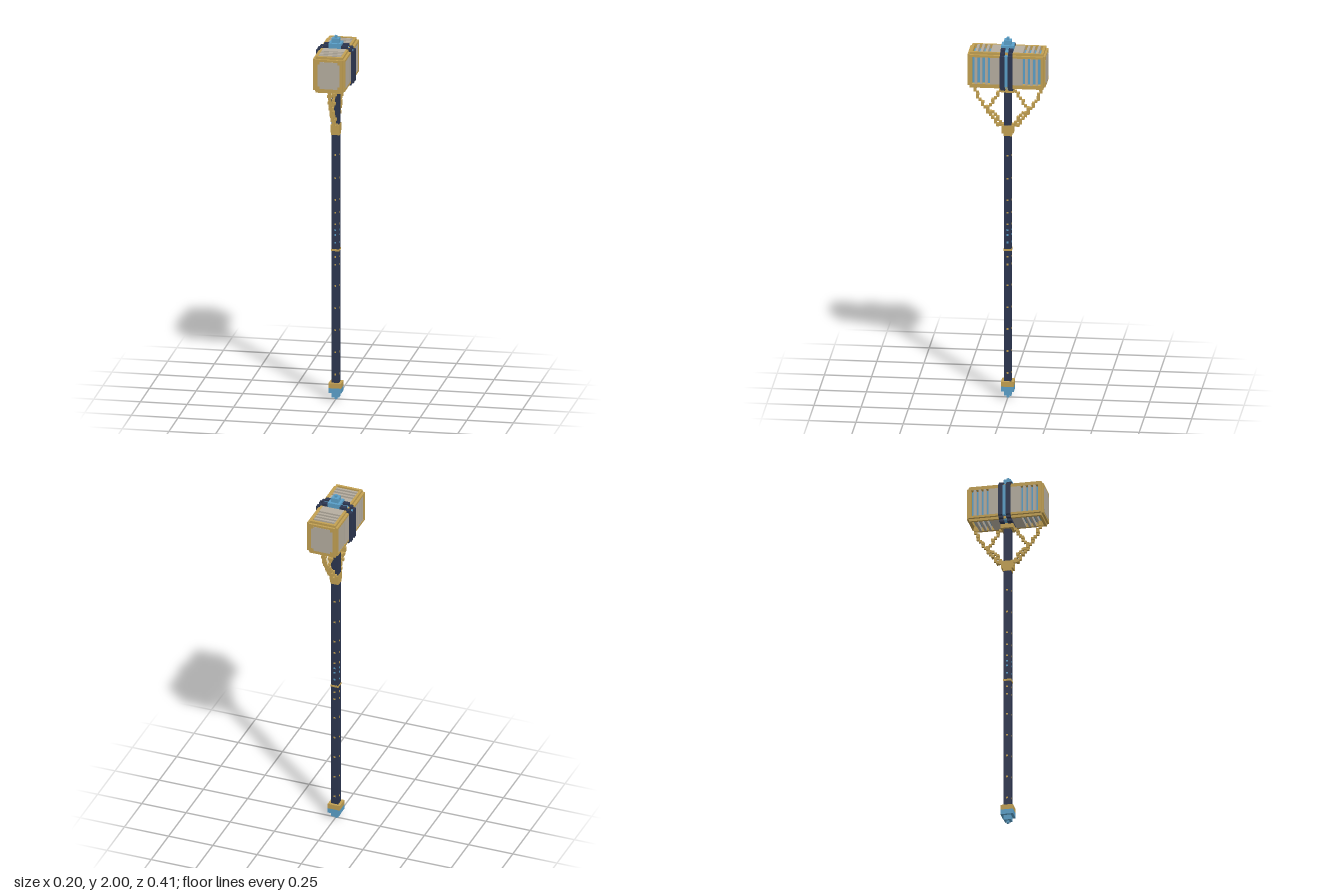
import * as THREE from 'three';

const mat = (name, color) => {
  const m = new THREE.MeshStandardMaterial({ color });
  m.name = name;
  return m;
};

export function createModel() {
  const gold = mat('gold', 0xc2a052);
  const stone = mat('stone', 0xb5ad9f);
  const blue = mat('blue', 0x5a9fc8);
  const navy = mat('navy', 0x2c3650);

  const model = new THREE.Group();
  model.name = 'warHammer';
  const group = (name) => {
    const g = new THREE.Group();
    g.name = name;
    model.add(g);
    return g;
  };
  // Box by size and centre
  const box = (parent, name, material, w, h, d, x, y, z) => {
    const m = new THREE.Mesh(new THREE.BoxGeometry(w, h, d), material);
    m.name = name;
    m.position.set(x, y, z);
    parent.add(m);
    return m;
  };
  // Square block between two heights
  const block = (parent, name, material, half, y0, y1) =>
    box(parent, name, material, half * 2, y1 - y0, half * 2, 0, (y0 + y1) / 2, 0);

  // Pommel: stepped blue tip under a gold collar
  const pommel = group('pommel');
  block(pommel, 'pommelTip', blue, 0.007, 0, 0.02);
  block(pommel, 'pommelStep', blue, 0.02, 0.0135, 0.046);
  block(pommel, 'pommelBase', blue, 0.034, 0.04, 0.067);
  block(pommel, 'pommelCollar', gold, 0.034, 0.067, 0.094);

  // Handle with thin ring and collars
  const handle = group('handle');
  block(handle, 'shaft', navy, 0.02, 0.09, 1.73);
  block(handle, 'gripRing', gold, 0.0215, 0.818, 0.829);
  block(handle, 'chainCollarLower', gold, 0.0225, 1.457, 1.475);
  const collar = block(handle, 'chainCollar', gold, 0.0225, 1.472, 1.515);
  collar.scale.z = 1.4;
  block(handle, 'headCollar', gold, 0.034, 1.702, 1.728);

  // Studs on the four sides of the shaft
  const studs = group('studs');
  const goldStuds = [0.14, 0.262, 0.384, 0.505, 0.627, 0.743, 0.786, 0.966, 1.03, 1.1, 1.22, 1.347];
  const blueStuds = [0.865, 0.907, 0.934];
  [[goldStuds, gold], [blueStuds, blue]].forEach(([heights, m]) => {
    for (const y of heights) {
      box(studs, 'studFrontBack', m, 0.01, 0.009, 0.042, 0, y, 0);
      box(studs, 'studSides', m, 0.042, 0.009, 0.01, 0, y, 0);
    }
  });

  // Head
  const cy = 1.837;
  const head = group('head');
  box(head, 'glowingCore', blue, 0.124, 0.15, 0.366, 0, cy, 0);
  // Each slat reaches all four sides, the gaps show the core
  const slats = [[0.03, 0.086], [0.1, 0.113], [0.127, 0.14], [0.154, 0.167]];
  for (const s of [1, -1]) {
    for (const [a, b] of slats) {
      const z = s * (a + b) / 2;
      box(head, 'slatSides', stone, 0.172, 0.148, b - a, 0, cy, z);
      box(head, 'slatTopBottom', stone, 0.12, 0.198, b - a, 0, cy, z);
    }
    // Stepped gold end frame
    box(head, 'endFrameSides', gold, 0.172, 0.172, 0.014, 0, cy, s * 0.188);
    box(head, 'endFrameTopBottom', gold, 0.146, 0.198, 0.014, 0, cy, s * 0.188);
    box(head, 'endFrameFace', gold, 0.146, 0.172, 0.014, 0, cy, s * 0.199);
    // Striking face with notched corners
    box(head, 'strikingFaceWide', stone, 0.12, 0.122, 0.004, 0, cy, s * 0.2052);
    box(head, 'strikingFaceTall', stone, 0.094, 0.148, 0.004, 0, cy, s * 0.2052);
  }
  // Stepped gold corner rails
  for (const sx of [1, -1]) for (const sy of [1, -1]) {
    box(head, 'railSide', gold, 0.026, 0.012, 0.37, sx * 0.073, cy + sy * 0.08, 0);
    box(head, 'railTop', gold, 0.013, 0.025, 0.37, sx * 0.0665, cy + sy * 0.0865, 0);
  }

  // Navy band in two halves around a sunken blue strip
  const band = group('band');
  for (const s of [1, -1]) {
    [[0.2, 0.174], [0.174, 0.2], [0.134, 0.226]].forEach(([w, h]) =>
      box(band, 'bandHalf', navy, w, h, 0.024, 0, cy, s * 0.021));
  }
  box(band, 'bandStripSides', blue, 0.184, 0.174, 0.022, 0, cy, 0);
  box(band, 'bandStripTop', blue, 0.134, 0.208, 0.022, 0, cy, 0);

  // Stepped finial on top
  const finial = group('finial');
  block(finial, 'finialBase', blue, 0.0335, 1.935, 1.962);
  block(finial, 'finialStep', blue, 0.02, 1.96, 1.987);
  block(finial, 'finialTip', blue, 0.007, 1.985, 2);

  // Chains of small cubes, snapped to a grid, front and back
  const chains = group('chains');
  const unit = 0.0134;
  const paths = [
    [[0.176, 1.735], [0.16, 1.67], [0.14, 1.63], [0.11, 1.59], [0.07, 1.54], [0.03, 1.497]],
    [[0.035, 1.7], [0.06, 1.675], [0.085, 1.635], [0.11, 1.59]],
    [[0.11, 1.59], [0.075, 1.575], [0.05, 1.54], [0.025, 1.5]],
  ];
  for (const s of [1, -1]) for (const path of paths) {
    const curve = new THREE.CatmullRomCurve3(path.map(([z, y]) => new THREE.Vector3(0, y, z)));
    const n = Math.round(curve.getLength() / (unit * 1.2));
    for (let i = 0; i <= n; i++) {
      const p = curve.getPointAt(i / n);
      const y = Math.round(p.y / unit) * unit;
      const z = Math.round(p.z / unit) * unit;
      // Links alternate between narrow and wide
      box(chains, 'chainLink', gold, i % 3 === 1 ? unit * 2 : unit, unit * 1.1, unit * 1.1, 0, y, s * z);
    }
  }
  return model;
}
